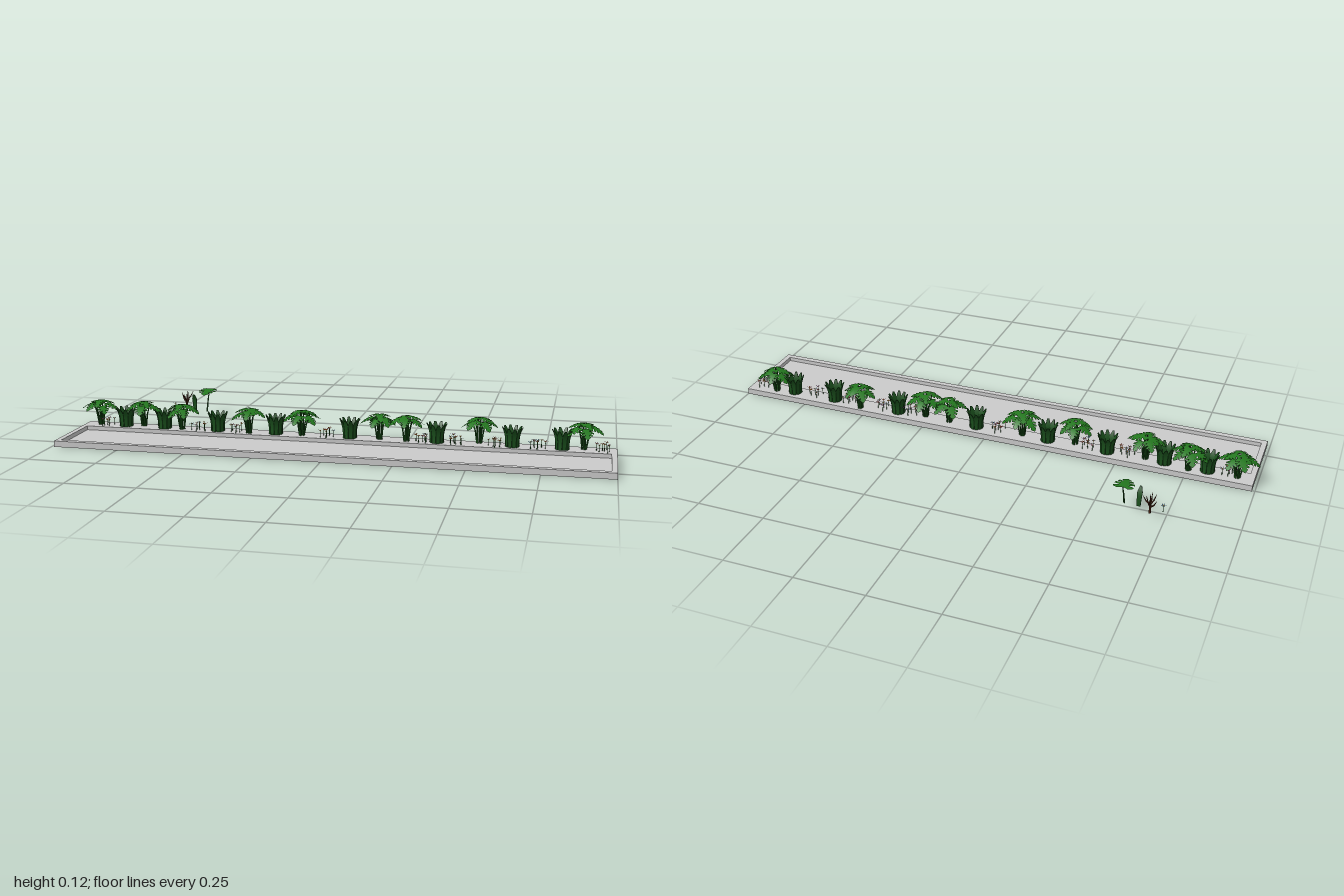
import * as THREE from 'three';
import { mergeGeometries } from 'three/addons/utils/BufferGeometryUtils.js';

const TOP = 0.022; // height of the planting ledge
const mat = (color) => new THREE.MeshStandardMaterial({ color, side: THREE.DoubleSide });
const V = (x, y, z) => new THREE.Vector3(x, y, z);

function seeded(seed) {
  let s = seed;
  return () => (s = (s * 16807) % 2147483647) / 2147483647;
}

function add(parent, name, geometry, material) {
  const mesh = new THREE.Mesh(geometry, material);
  mesh.name = name;
  parent.add(mesh);
  return mesh;
}

// Tapered rod between two points
function rod(a, b, r0, r1, sides = 5) {
  const dir = b.clone().sub(a);
  const g = new THREE.CylinderGeometry(r1, r0, dir.length(), sides);
  g.applyQuaternion(new THREE.Quaternion().setFromUnitVectors(V(0, 1, 0), dir.clone().normalize()));
  return g.translate(...a.clone().add(b).multiplyScalar(0.5).toArray());
}

// Deeply lobed leaf lying outward along +x, arching down to its tip
function lobedLeaf(length, width) {
  const half = [[0, 0], [-0.1, 0.25], [0.02, 0.46], [0.16, 0.5], [0.2, 0.2], [0.34, 0.5], [0.48, 0.46],
    [0.42, 0.17], [0.58, 0.4], [0.7, 0.33], [0.62, 0.12], [0.78, 0.24], [0.86, 0.17]];
  const outline = [...half, [1, 0], ...half.slice(1).reverse().map(([x, y]) => [x, -y])];
  const g = new THREE.ShapeGeometry(new THREE.Shape(outline.map(([x, y]) => new THREE.Vector2(x * length, y * width))));
  g.rotateX(-Math.PI / 2);
  const p = g.attributes.position;
  for (let i = 0; i < p.count; i++) {
    const t = p.getX(i) / length, w = p.getZ(i) / width;
    p.setY(i, -0.014 * t * t - 0.014 * w * w);
  }
  g.computeVertexNormals();
  return g;
}

// Upright strap blade: narrow foot, wide middle, pointed tip curling outward along +x
function strapBlade() {
  const h = 0.07;
  const g = new THREE.BoxGeometry(0.006, h, 0.019, 1, 7, 1).translate(0, h / 2, 0);
  const p = g.attributes.position;
  for (let i = 0; i < p.count; i++) {
    const t = p.getY(i) / h;
    const wide = t < 0.75 ? 0.65 + 0.45 * t : 1 - 2.6 * (t - 0.75);
    p.setZ(i, p.getZ(i) * wide);
    p.setX(i, p.getX(i) * (1 - 0.6 * t) + 0.022 + 0.015 * t * t * t);
  }
  g.computeVertexNormals();
  return g;
}

// Six-petalled star
function petals() {
  const shape = new THREE.Shape();
  for (let i = 0; i < 12; i++) {
    const r = i % 2 ? 0.0035 : 0.011, a = (i * Math.PI) / 6;
    shape[i ? 'lineTo' : 'moveTo'](r * Math.cos(a), r * Math.sin(a));
  }
  const g = new THREE.ShapeGeometry(shape).rotateX(-Math.PI / 2);
  const p = g.attributes.position;
  for (let i = 0; i < p.count; i++) p.setY(i, Math.hypot(p.getX(i), p.getZ(i)) * 0.35);
  g.computeVertexNormals();
  return g;
}

export function createModel() {
  const root = new THREE.Group();
  root.name = 'planterWithPlants';
  const rand = seeded(71);
  const stone = new THREE.MeshStandardMaterial({ color: 0xcccccc });
  const leafGreen = mat(0x24781f), stemGreen = mat(0x1c5a1c), bladeGreen = mat(0x1a4f1c);
  const bark = mat(0x4a2412), yellow = mat(0xe0b040);
  const petalColors = [0xb83a3a, 0x4a86c0, 0xc46a9a, 0xd8794a, 0x8a4a9a, 0xb8c4d8].map(mat);

  // Tray: floor slab, three narrow rims and the wide planting ledge
  const box = (name, x0, x1, y0, y1, z0, z1) =>
    add(root, name, new THREE.BoxGeometry(x1 - x0, y1 - y0, z1 - z0), stone)
      .position.set((x0 + x1) / 2, (y0 + y1) / 2, (z0 + z1) / 2);
  box('trayFloor', -0.99, 1, 0, 0.007, -0.005, 0.32);
  box('plantingLedge', -0.99, 1, 0.007, TOP, -0.005, 0.075);
  box('frontRim', -0.99, 1, 0.007, TOP, 0.298, 0.32);
  box('rightRim', -0.99, -0.97, 0.007, TOP, 0.075, 0.298);
  box('leftRim', 0.98, 1, 0.007, TOP, 0.075, 0.298);

  const plant = (name, x, z) => {
    const g = new THREE.Group();
    g.name = name;
    g.position.set(x, TOP, z);
    root.add(g);
    return g;
  };

  // One leaf on a leaning stem, given as merged leaf and stem geometries
  function leafOnStem(angle, foot, head, height, size, droop) {
    const leaf = lobedLeaf(size, size * 0.95).rotateZ(-droop).translate(head, height, 0).rotateY(angle);
    const knee = V((foot + head) * 0.45, height * 0.55, 0);
    const stem = mergeGeometries([
      rod(V(foot, 0, 0), knee, 0.0032, 0.0026),
      rod(knee, V(head, height, 0), 0.0026, 0.0018)]).rotateY(angle);
    return { leaf, stem };
  }

  // Broad-leaved plants
  const broad = [[-0.93, 0.033], [-0.76, 0.022], [-0.6, 0.042], [-0.335, 0.05], [-0.135, 0.042],
    [0.155, 0.037], [0.255, 0.045], [0.515, 0.015], [0.885, 0.025]];
  broad.forEach(([x, z]) => {
    const g = plant('broadLeafPlant', x, z), turn = rand() * 6.28, parts = [];
    for (let i = 0; i < 9; i++) {
      const inner = i > 5;
      const angle = turn + (inner ? i * 2.1 + 0.5 : (i * Math.PI) / 3) + (rand() - 0.5) * 0.35;
      parts.push(leafOnStem(angle, 0.008, inner ? 0.006 : 0.02 + rand() * 0.012,
        inner ? 0.094 : 0.076 + rand() * 0.014, 0.046 + rand() * 0.008, inner ? 0.08 : 0.28));
    }
    add(g, 'leaves', mergeGeometries(parts.map((p) => p.leaf)), leafGreen);
    add(g, 'stems', mergeGeometries(parts.map((p) => p.stem)), stemGreen);
  });

  // Rings of upright strap leaves
  const blade = strapBlade();
  const ring = mergeGeometries(Array.from({ length: 10 }, (_, i) => blade.clone().rotateY((i * Math.PI) / 5)));
  [-0.825, -0.67, -0.46, -0.235, 0.045, 0.365, 0.635, 0.81].forEach((x) =>
    add(plant('strapLeafClump', x, 0.038), 'blades', ring, bladeGreen));

  // Small flowers in loose patches
  const star = petals(), eye = new THREE.SphereGeometry(0.0025, 6, 4);
  function flower(x, z, height, color) {
    const g = plant('flower', x, z);
    add(g, 'flowerStem', rod(V(0, 0, 0), V(0, height, 0), 0.0012, 0.0008, 4), stemGreen);
    const bloom = add(g, 'petals', star, color);
    bloom.position.y = height;
    bloom.rotation.set((rand() - 0.5) * 0.4, rand() * 3, (rand() - 0.5) * 0.4);
    add(g, 'flowerEye', eye, yellow).position.y = height + 0.001;
  }
  [-0.9, -0.53, -0.385, -0.04, 0.315, 0.43, 0.575, 0.725, 0.955].forEach((x, k) => {
    for (let i = 0; i < 7; i++) {
      const a = i * 2.4 + k, r = 0.012 * Math.sqrt(i);
      flower(x + r * Math.cos(a), 0.044 + r * Math.sin(a), 0.021 + rand() * 0.007, petalColors[(i + k) % 6]);
    }
  });

  // Loose single pieces behind the tray: flower, twig, blade and leaf
  flower(-0.74, -0.27, 0.024, petalColors[1]);
  const twig = [rod(V(0, 0, 0), V(0, 0.036, 0), 0.004, 0.0035, 6)];
  for (let i = 0; i < 6; i++) {
    const a = i * 1.05 + 0.5, y = 0.022 + (i % 3) * 0.006, r = 0.02 + (i % 2) * 0.007;
    const mid = V(r * 0.6 * Math.cos(a), y + 0.017, r * 0.6 * Math.sin(a));
    const tip = V(r * Math.cos(a), y + 0.037, r * Math.sin(a));
    twig.push(rod(V(0, y, 0), mid, 0.003, 0.0025), rod(mid, tip, 0.0025, 0.0005));
  }
  twig.push(rod(V(0, 0.035, 0), V(0.003, 0.073, 0.002), 0.0035, 0.0005));
  add(plant('twig', -0.7, -0.292), 'branches', mergeGeometries(twig), bark);
  add(plant('singleBlade', -0.655, -0.285), 'blade', blade.clone().rotateY(-Math.PI / 2).translate(0, 0, 0), bladeGreen);
  const single = leafOnStem(-Math.PI / 2, 0.01, -0.028, 0.086, 0.075, 0.0);
  const g = plant('singleLeaf', -0.605, -0.272);
  add(g, 'leaf', single.leaf, leafGreen);
  add(g, 'stem', single.stem, stemGreen);
  return root;
}
